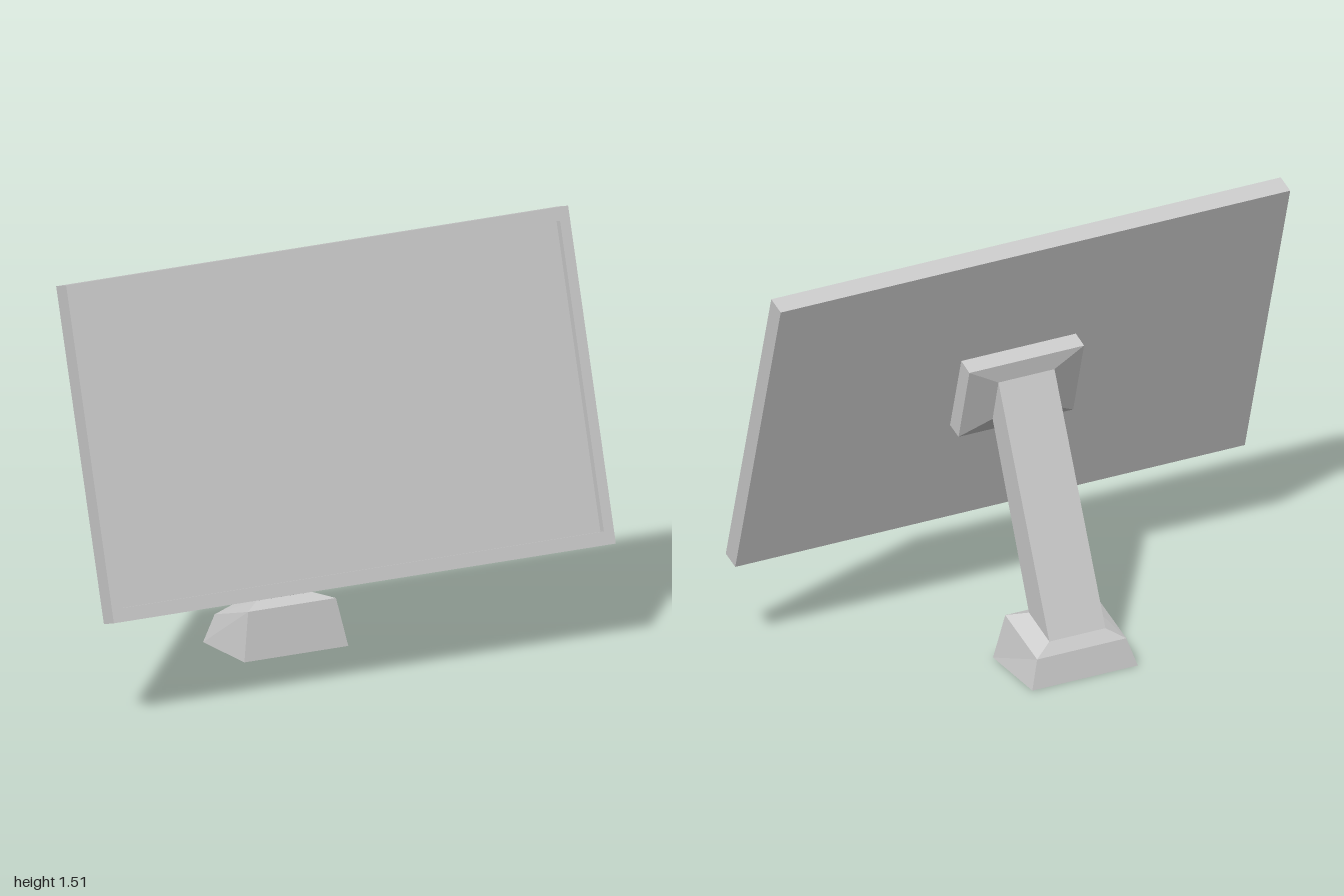
import * as THREE from 'three';

const material = new THREE.MeshStandardMaterial({ color: 0xcccccc, flatShading: true, side: THREE.DoubleSide });

function addMesh(parent, name, geometry) {
  const mesh = new THREE.Mesh(geometry, material);
  mesh.name = name;
  parent.add(mesh);
  return mesh;
}

// Skin between rectangular sections: [half width, front z, front y, back z, back y]
function loft(sections, capStart, capEnd) {
  const rings = sections.map(([w, fz, fy, bz, by]) => [[-w, fy, fz], [w, fy, fz], [w, by, bz], [-w, by, bz]]);
  const pos = [];
  const quad = (a, b, c, d) => pos.push(...a, ...b, ...c, ...a, ...c, ...d);
  for (let i = 0; i < rings.length - 1; i++) {
    for (let j = 0; j < 4; j++) {
      const k = (j + 1) % 4;
      quad(rings[i][j], rings[i][k], rings[i + 1][k], rings[i + 1][j]);
    }
  }
  if (capStart) quad(...[...rings[0]].reverse());
  if (capEnd) quad(...rings[rings.length - 1]);
  const geometry = new THREE.BufferGeometry();
  geometry.setAttribute('position', new THREE.Float32BufferAttribute(pos, 3));
  geometry.computeVertexNormals();
  return geometry;
}

function rectangle(path, w, h) {
  path.moveTo(-w / 2, -h / 2);
  path.lineTo(w / 2, -h / 2);
  path.lineTo(w / 2, h / 2);
  path.lineTo(-w / 2, h / 2);
  path.closePath();
  return path;
}

export function createModel() {
  const model = new THREE.Group();
  model.name = 'monitor';

  // Tilted display: solid slab with a raised bezel around the screen
  const width = 2, height = 1.183, depth = 0.073, recess = 0.025;
  const display = new THREE.Group();
  display.name = 'display';
  display.position.set(0, 0.934, 0.183);
  display.rotation.x = -0.287;
  model.add(display);

  const slab = addMesh(display, 'screenPanel', new THREE.BoxGeometry(width, height, depth - recess));
  slab.position.z = -recess / 2;

  const outline = rectangle(new THREE.Shape(), width, height);
  outline.holes.push(rectangle(new THREE.Path(), width - 0.08, height - 0.095));
  const bezel = addMesh(display, 'bezel', new THREE.ExtrudeGeometry(outline, { depth: recess, bevelEnabled: false }));
  bezel.position.z = depth / 2 - recess;

  // Stand sections, from the floor up to the back of the display
  const floor = [0.207, -0.095, 0, -0.385, 0];
  const shoulder = [0.175, -0.125, 0.17, -0.36, 0.102];
  const armFoot = [0.11, -0.178, 0.188, -0.328, 0.142];
  const armHead = [0.11, 0.09, 0.82, 0.047, 0.98];
  const plateBack = [0.225, 0.125, 0.762, 0.045, 1.045];
  const plateFront = [0.225, 0.188, 0.78, 0.105, 1.065];

  addMesh(model, 'base', loft([floor, shoulder, armFoot], true, false));
  addMesh(model, 'arm', loft([armFoot, armHead], false, false));
  addMesh(model, 'mountPlate', loft([armHead, plateBack, plateFront], false, true));

  return model;
}
